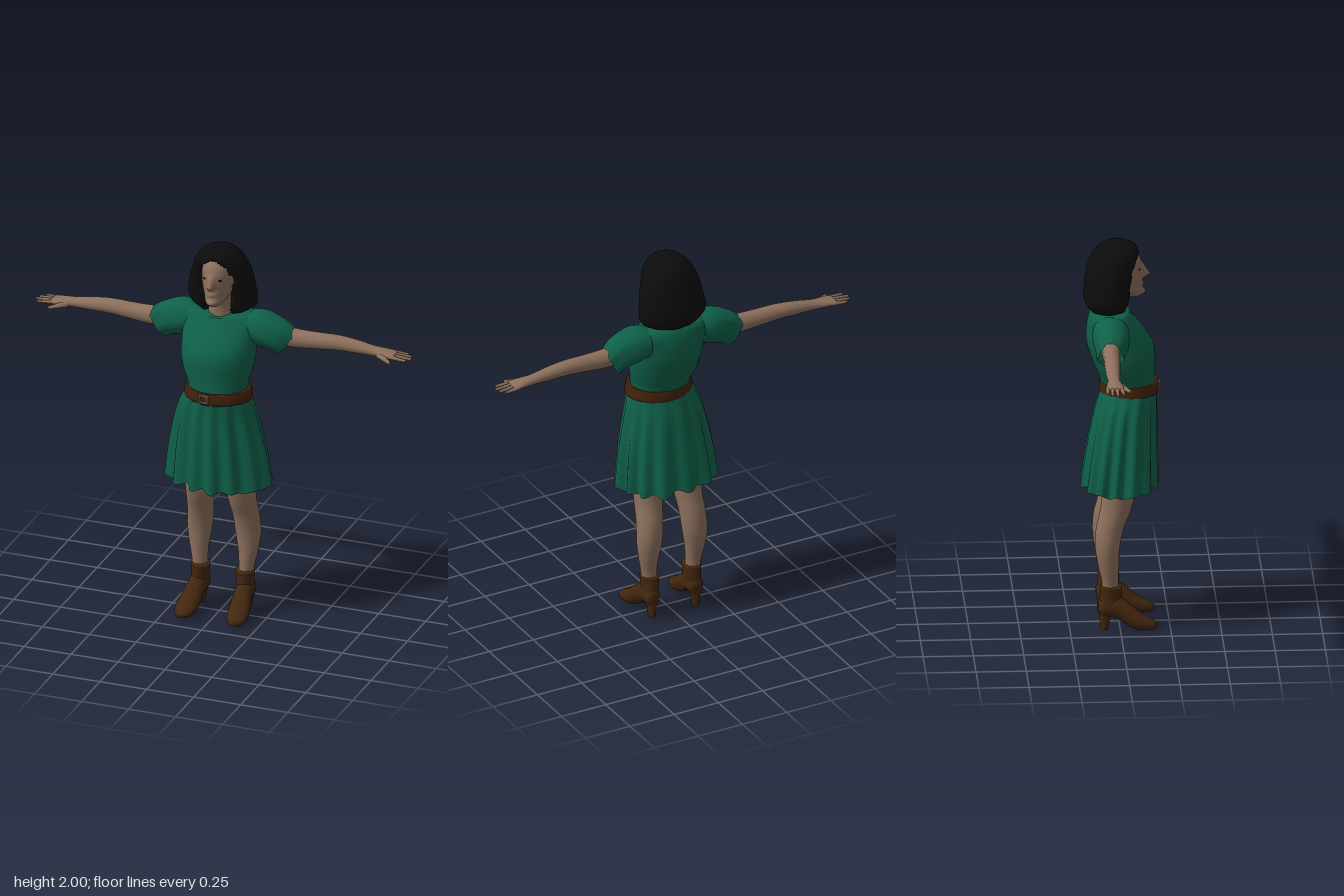
import * as THREE from 'three';

const mat = (name, color, side = THREE.FrontSide) => {
  const m = new THREE.MeshStandardMaterial({ color, side });
  m.name = name;
  return m;
};

// Smooth skin over elliptical sections [along, centreX, centreZ, radiusX, radiusZ] stacked in +y.
function loft(rows, n = 20, m = 16, rule = null, capped = true) {
  const centres = new THREE.CatmullRomCurve3(rows.map(r => new THREE.Vector3(r[1], r[0], r[2])), false, 'catmullrom');
  const radii = new THREE.CatmullRomCurve3(rows.map(r => new THREE.Vector3(r[3], 0, r[4])), false, 'catmullrom');
  const pos = [], idx = [];
  for (let i = 0; i <= m; i++) {
    const t = i / m, c = centres.getPoint(t), r = radii.getPoint(t);
    for (let j = 0; j < n; j++) {
      const a = (j / n) * Math.PI * 2;
      const p = new THREE.Vector3(c.x + r.x * Math.sin(a), c.y, c.z + r.z * Math.cos(a));
      if (rule) rule(p, t, a);
      pos.push(p.x, p.y, p.z);
      if (i < m) {
        const k = (j + 1) % n, q = i * n;
        idx.push(q + j, q + k, q + n + k, q + j, q + n + k, q + n + j);
      }
    }
  }
  if (capped) {
    const a = rows[0], b = rows[rows.length - 1], s = pos.length / 3, top = m * n;
    pos.push(a[1], a[0], a[2], b[1], b[0], b[2]);
    for (let j = 0; j < n; j++) {
      const k = (j + 1) % n;
      idx.push(s, k, j, s + 1, top + j, top + k);
    }
  }
  const g = new THREE.BufferGeometry();
  g.setAttribute('position', new THREE.Float32BufferAttribute(pos, 3));
  g.setIndex(idx);
  g.computeVertexNormals();
  return g;
}

// Same along +x, rows [x, y, z, radiusY, radiusZ]
const loftX = (rows, ...rest) =>
  loft(rows.map(([x, y, z, ry, rz]) => [x, -y, z, ry, rz]), ...rest).rotateZ(-Math.PI / 2);
// Same along +z, rows [z, x, y, radiusX, radiusY]
const loftZ = (rows, ...rest) =>
  loft(rows.map(([z, x, y, rx, ry]) => [z, x, -y, rx, ry]), ...rest).rotateX(Math.PI / 2);

// Tapered rod between two points
function rod(a, b, ra, rb) {
  const A = new THREE.Vector3(...a), B = new THREE.Vector3(...b), d = B.clone().sub(A);
  const g = new THREE.CylinderGeometry(rb, ra, d.length(), 8);
  g.applyQuaternion(new THREE.Quaternion().setFromUnitVectors(new THREE.Vector3(0, 1, 0), d.normalize()));
  const c = A.add(B).multiplyScalar(0.5);
  return g.translate(c.x, c.y, c.z);
}

function mirrored(geo) {
  const g = geo.clone().scale(-1, 1, 1), ix = g.index;
  for (let i = 0; i < ix.count; i += 3) {
    const t = ix.getX(i + 1);
    ix.setX(i + 1, ix.getX(i + 2));
    ix.setX(i + 2, t);
  }
  g.computeVertexNormals();
  return g;
}

export function createModel() {
  const model = new THREE.Group();
  const skin = mat('skin', 0x8c705c), hair = mat('black hair', 0x0c0c0d, THREE.DoubleSide);
  const green = mat('green cloth', 0x0f6049, THREE.DoubleSide), leather = mat('belt leather', 0x43210c);
  const bootMat = mat('boot leather', 0x43270f), metal = mat('buckle metal', 0x85745a);
  const add = (name, geo, material) => {
    const mesh = new THREE.Mesh(geo, material);
    mesh.name = name;
    model.add(mesh);
  };
  const pair = (name, geo, material) => {
    add('left' + name, geo, material);
    add('right' + name, mirrored(geo), material);
  };

  // Head, with the nose drawn out of the front
  add('head', loft([
    [1.705, 0, 0.075, 0.025, 0.03], [1.725, 0, 0.045, 0.048, 0.08], [1.76, 0, 0.015, 0.067, 0.102],
    [1.82, 0, 0, 0.082, 0.116], [1.88, 0, -0.005, 0.083, 0.118], [1.93, 0, -0.01, 0.072, 0.1],
    [1.97, 0, -0.02, 0.04, 0.06],
  ], 44, 40, p => {
    if (p.z < 0.05) return;
    const y = p.y, w = Math.exp(-((p.x / 0.016) ** 2));
    const nose = y > 1.815 ? Math.max(0, 1 - (y - 1.815) / 0.07) : Math.max(0, 1 - (1.815 - y) / 0.02);
    const lips = Math.exp(-(((y - 1.772) / 0.01) ** 2)) * Math.exp(-((p.x / 0.025) ** 2));
    const chin = Math.exp(-(((y - 1.73) / 0.014) ** 2)) * Math.exp(-((p.x / 0.03) ** 2));
    p.z += 0.042 * nose * w + 0.009 * lips + 0.008 * chin;
  }), skin);
  add('neck', loft([
    [1.56, 0, -0.04, 0.08, 0.07], [1.63, 0, -0.03, 0.068, 0.065], [1.68, 0, -0.02, 0.053, 0.06],
    [1.76, 0, -0.01, 0.055, 0.06],
  ]), skin);
  pair('Eye', new THREE.SphereGeometry(1, 10, 6).scale(0.014, 0.005, 0.004).rotateY(0.25).translate(0.037, 1.852, 0.102), hair);

  // Bobbed hair, hollowed around the face
  add('hair', loft([
    [1.64, 0, -0.055, 0.12, 0.09], [1.67, 0, -0.058, 0.168, 0.108], [1.72, -0.003, -0.058, 0.178, 0.118],
    [1.79, -0.003, -0.05, 0.168, 0.12], [1.86, 0, -0.036, 0.15, 0.122], [1.92, 0, -0.018, 0.128, 0.12],
    [1.965, 0, -0.008, 0.093, 0.094], [1.99, 0, -0.01, 0.048, 0.052], [2.0, 0, -0.01, 0.008, 0.008],
  ], 56, 40, (p, t, a) => {
    const s = (p.y - 1.82) / 0.125;
    const w = s > 0 ? 0.085 * Math.sqrt(Math.max(0, 1 - s * s)) : 0.085 + 0.012 * s;
    if (Math.cos(a) > 0 && Math.abs(p.x) < w) p.z = Math.min(p.z, -0.02);
    else {
      const wave = 1 + 0.02 * (1 - t) * Math.sin(7 * a + 14 * t);
      p.x *= wave;
      p.z = (p.z + 0.04) * wave - 0.04;
    }
  }), hair);

  // Dress bodice
  add('bodice', loft([
    [1.2, 0.01, 0.05, 0.16, 0.14], [1.27, 0.01, 0.045, 0.153, 0.138], [1.34, 0.002, 0.03, 0.176, 0.15],
    [1.41, 0, 0.018, 0.19, 0.163], [1.47, 0, 0.003, 0.192, 0.165], [1.55, 0, -0.025, 0.2, 0.137],
    [1.605, 0, -0.042, 0.205, 0.108], [1.635, 0, -0.042, 0.16, 0.093], [1.64, 0, -0.04, 0.085, 0.075],
  ], 32, 28, (p, t) => {
    if (t > 0.85 && p.z > -0.02) p.y -= 0.02 * Math.max(0, 1 - Math.abs(p.x) / 0.1);
  }), green);

  // Puffed sleeves with slanted cuffs
  pair('Sleeve', loftX([
    [0.15, 1.565, -0.05, 0.08, 0.09], [0.21, 1.56, -0.05, 0.094, 0.092],
    [0.28, 1.535, -0.05, 0.084, 0.08], [0.345, 1.495, -0.06, 0.066, 0.062],
  ], 24, 12, (p, t, a) => {
    p.y += 0.7 * t * t * (-p.x - 1.495);
    p.z += 0.006 * t * Math.sin(6 * a);
  }, false), green);

  // Pleated skirt, deeper folds toward the hem
  add('skirt', loft([
    [1.235, 0.01, 0.05, 0.158, 0.138], [1.18, 0.005, 0.042, 0.183, 0.145], [1.1, 0, 0.03, 0.205, 0.155],
    [0.92, 0, 0.014, 0.24, 0.172], [0.725, 0, 0, 0.262, 0.185],
  ].reverse(), 112, 16, (p, t, a) => {
    const d = 1 - t, fold = Math.sin(14 * a + 0.8 * Math.sin(3 * a)) + 0.35 * Math.sin(5 * a + 1);
    const k = 1 + 0.07 * d * fold;
    p.x *= k;
    p.z = (p.z - 0.01) * k + 0.01;
    p.y -= 0.012 * d * d * Math.cos(a * 2 + 0.5) * fold;
  }, false), green);

  // Belt and buckle
  add('belt', loft([
    [1.21, 0.015, 0.052, 0.172, 0.145], [1.215, 0.015, 0.052, 0.175, 0.149],
    [1.26, 0.013, 0.052, 0.168, 0.146], [1.265, 0.013, 0.052, 0.163, 0.141],
  ], 36, 6), leather);
  const frame = new THREE.Shape([[-0.025, -0.022], [0.025, -0.022], [0.025, 0.022], [-0.025, 0.022]].map(p => new THREE.Vector2(...p)));
  frame.holes.push(new THREE.Path([[-0.018, -0.015], [-0.018, 0.015], [0.018, 0.015], [0.018, -0.015]].map(p => new THREE.Vector2(...p))));
  add('buckle', new THREE.ExtrudeGeometry(frame, { depth: 0.006, bevelEnabled: false }).translate(-0.01, 1.238, 0.197), metal);

  // Arms, palms and fingers
  pair('Arm', loftX([
    [0.2, 1.55, -0.055, 0.055, 0.05], [0.36, 1.53, -0.058, 0.05, 0.046], [0.48, 1.532, -0.06, 0.044, 0.042],
    [0.6, 1.538, -0.064, 0.039, 0.04], [0.7, 1.533, -0.066, 0.034, 0.036], [0.79, 1.525, -0.067, 0.026, 0.031],
    [0.84, 1.523, -0.067, 0.022, 0.038], [0.89, 1.521, -0.066, 0.017, 0.045], [0.915, 1.519, -0.066, 0.011, 0.04],
  ], 18, 24), skin);
  [[-0.1, -0.108, 0.965], [-0.078, -0.084, 0.99], [-0.056, -0.056, 0.998], [-0.034, -0.026, 0.98]].forEach(([z0, z1, x], i) =>
    pair('Finger' + (i + 1), rod([0.885, 1.52, z0], [x, 1.515, z1], 0.012, 0.007), skin));
  pair('Thumb', rod([0.83, 1.516, -0.045], [0.91, 1.506, 0.012], 0.018, 0.008), skin);

  // Legs
  pair('Leg', loft([
    [0.16, 0.12, -0.05, 0.038, 0.038], [0.25, 0.125, -0.05, 0.04, 0.042], [0.33, 0.13, -0.058, 0.051, 0.052],
    [0.43, 0.128, -0.063, 0.066, 0.062], [0.53, 0.121, -0.05, 0.067, 0.07], [0.62, 0.113, -0.022, 0.07, 0.077],
    [0.72, 0.108, -0.005, 0.077, 0.085], [0.88, 0.1, 0, 0.092, 0.105], [1.02, 0.085, 0.02, 0.085, 0.1],
  ], 20, 28), skin);

  // Heeled ankle boots
  pair('BootShaft', loft([
    [0.09, 0.122, -0.05, 0.04, 0.05], [0.14, 0.121, -0.047, 0.043, 0.056], [0.19, 0.119, -0.046, 0.045, 0.053],
    [0.228, 0.119, -0.045, 0.049, 0.054],
  ], 20, 10), bootMat);
  pair('BootFoot', loftZ([
    [-0.108, 0.122, 0.12, 0.015, 0.02], [-0.09, 0.122, 0.115, 0.038, 0.048], [-0.03, 0.123, 0.12, 0.045, 0.06],
    [0.02, 0.127, 0.094, 0.048, 0.062], [0.07, 0.133, 0.058, 0.054, 0.054], [0.12, 0.138, 0.036, 0.053, 0.037],
    [0.16, 0.14, 0.027, 0.04, 0.024], [0.183, 0.14, 0.024, 0.015, 0.01],
  ], 20, 24, p => { p.z = Math.min(p.z, -0.002); }), bootMat);
  pair('BootHeel', rod([0.124, 0, -0.08], [0.122, 0.11, -0.072], 0.018, 0.034), bootMat);

  return model;
}
